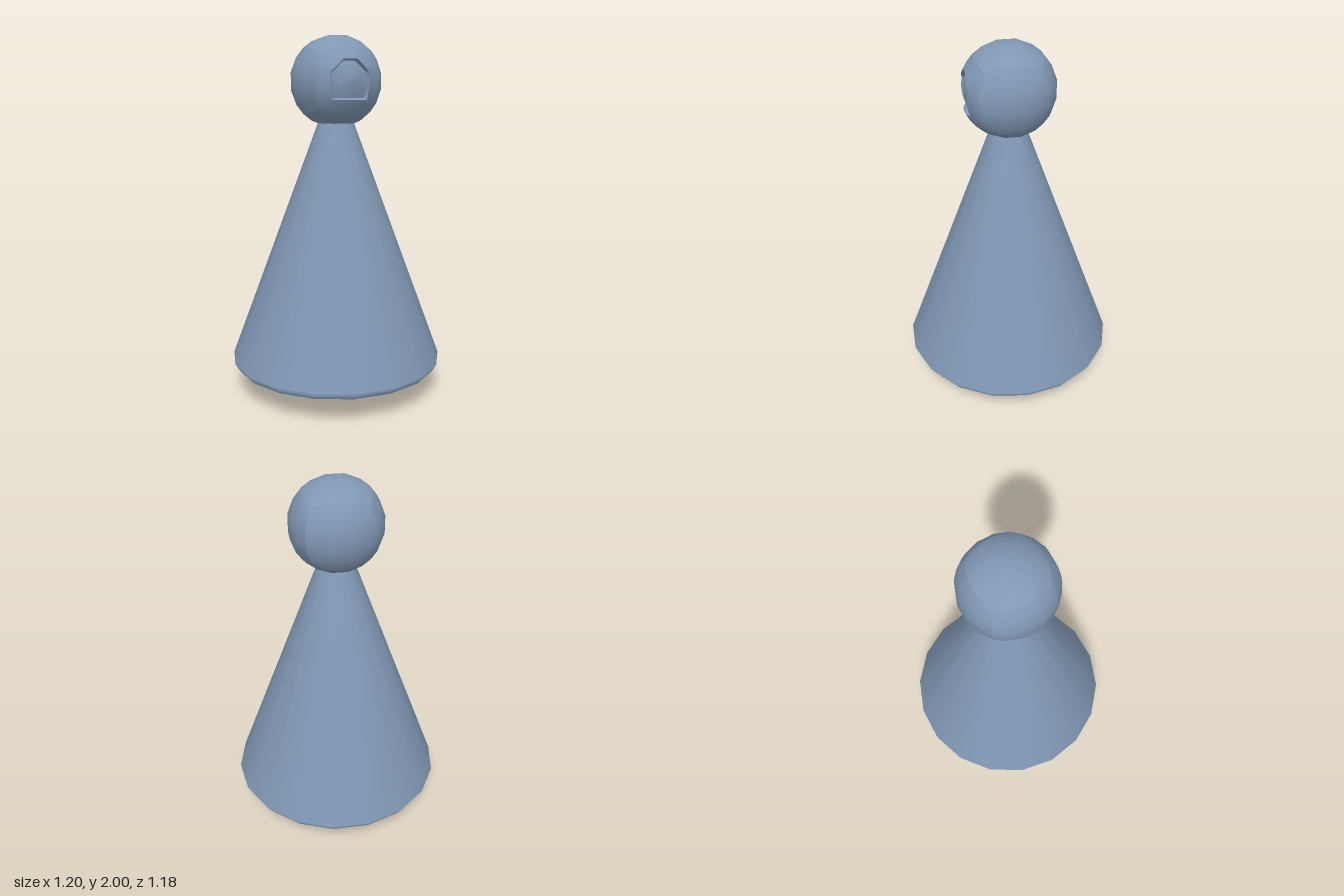
import * as THREE from 'three';

const HEAD_Y = 1.755, R = 0.254, FLOOR_R = 0.231;

// Surface through closed rings of points, listed from outer to inner
function ringSurface(rings) {
  const n = rings[0].length, index = [];
  for (let i = 0; i < rings.length - 1; i++) {
    for (let j = 0; j < n; j++) {
      const k = (j + 1) % n;
      const a = i * n + j, b = i * n + k, c = a + n, d = b + n;
      index.push(a, c, b, b, c, d);
    }
  }
  const g = new THREE.BufferGeometry().setFromPoints(rings.flat());
  g.setIndex(index);
  g.computeVertexNormals();
  return g;
}

// Walk a polygon clockwise, splitting each edge into the given number of steps
function walk(corners, steps) {
  return corners.flatMap(([x, y], i) => {
    const [u, v] = corners[(i + 1) % corners.length];
    return Array.from({ length: steps[i] }, (_, s) => {
      const t = s / steps[i];
      return new THREE.Vector2(x + (u - x) * t, y + (v - y) * t);
    });
  });
}

export function createModel() {
  const model = new THREE.Group();
  const material = new THREE.MeshStandardMaterial({ color: 0x8097b3 });
  const add = (name, geometry, parent = model) => {
    const mesh = new THREE.Mesh(geometry, material);
    mesh.name = name;
    parent.add(mesh);
    return mesh;
  };

  // Conical body with a small bevel at the hem
  const profile = [[0.575, 0.15], [0.6, 0.19], [0.1, 1.53], [0.085, 1.57]];
  add('body', new THREE.LatheGeometry(
    profile.map(([x, y]) => new THREE.Vector2(x, y)), 18, Math.PI / 2));

  // Flat underside of the body
  const base = add('bodyBase', new THREE.CircleGeometry(0.575, 18));
  base.rotation.x = Math.PI / 2;
  base.position.y = 0.15;

  // Short peg the body stands on
  const peg = add('peg', new THREE.CylinderGeometry(0.102, 0.102, 0.15, 8));
  peg.position.y = 0.075;

  // Head: a cube inflated to a sphere, its front side left out
  const head = new THREE.Group();
  head.name = 'head';
  head.position.y = HEAD_Y;
  model.add(head);

  const ball = new THREE.BoxGeometry(2, 2, 2, 5, 5, 5);
  const front = ball.groups[4];
  ball.setIndex(Array.from(ball.index.array).filter(
    (_, i) => i < front.start || i >= front.start + front.count));
  ball.clearGroups();
  const p = ball.attributes.position, v = new THREE.Vector3();
  for (let i = 0; i < p.count; i++) {
    v.fromBufferAttribute(p, i).setLength(R);
    p.setXYZ(i, v.x, v.y, v.z);
  }
  ball.computeVertexNormals();
  add('skull', ball, head);

  // Front side of the head around the face opening
  const border = walk(
    [[0.2, 1], [1, 1], [1, -1], [-1, -1], [-1, 1]], [2, 5, 5, 5, 3])
    .map(q => new THREE.Vector3(q.x, q.y, 1).setLength(R));
  const opening = walk(
    [[0.037, 0.112], [0.11, 0.042], [0.101, -0.1], [-0.101, -0.1], [-0.11, 0.042], [-0.037, 0.112]],
    [4, 3, 5, 3, 4, 1])
    .map(q => new THREE.Vector3(q.x, q.y, Math.sqrt(R * R - q.lengthSq())));
  const between = border.map((q, j) => q.clone().lerp(opening[j], 0.5).setLength(R));
  add('headFront', ringSurface([border, between, opening]), head);

  // Rim and sunken floor of the face
  const floor = opening.map(q => q.clone().setLength(FLOOR_R));
  add('faceRim', ringSurface([opening, floor]), head);
  const floorRings = [1, 0.5, 0.001].map(s => floor.map(
    q => new THREE.Vector3(q.x * s, q.y * s, q.z).setLength(FLOOR_R)));
  add('facePanel', ringSurface(floorRings), head);

  return model;
}
